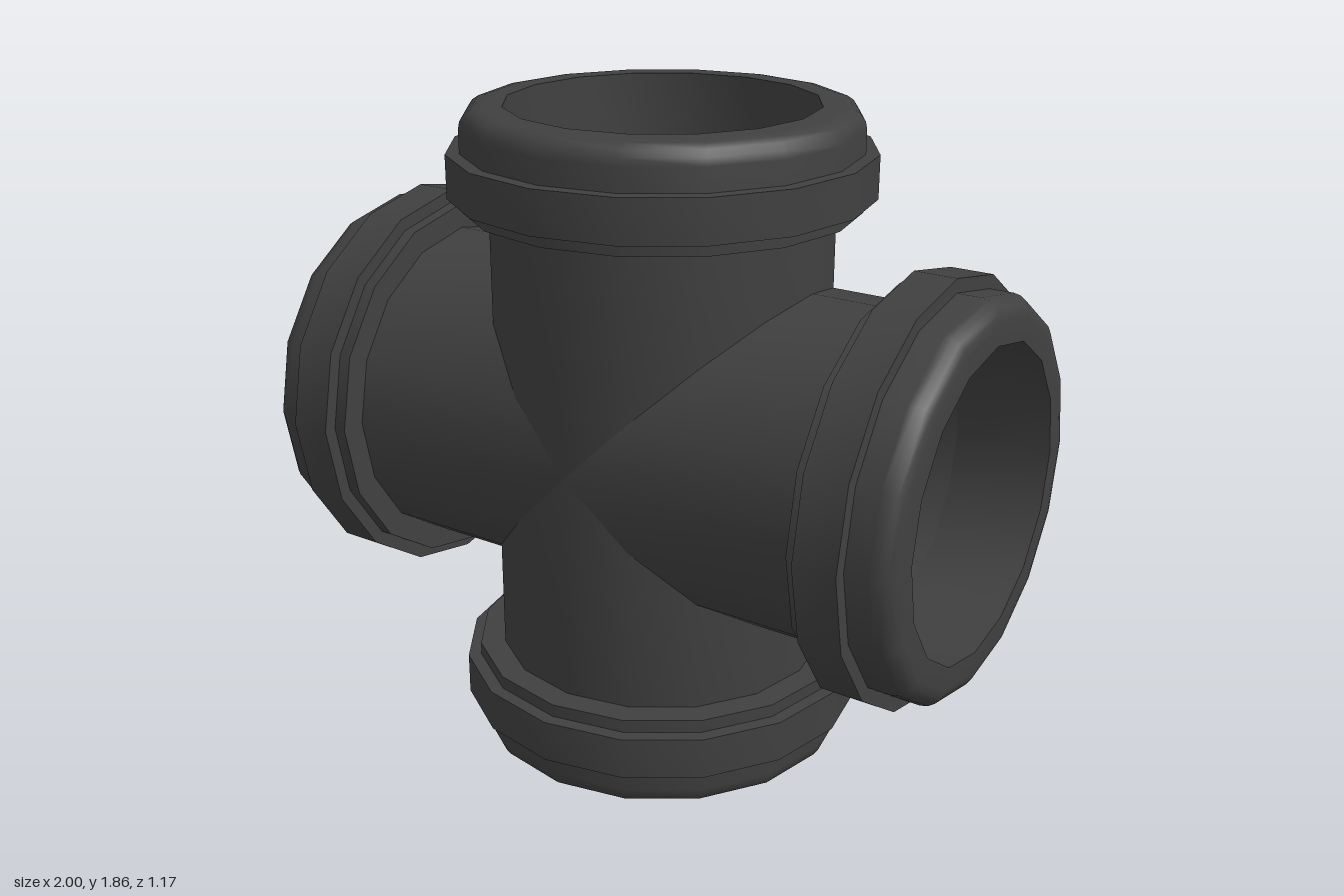
import * as THREE from 'three';
import { toCreasedNormals } from 'three/addons/utils/BufferGeometryUtils.js';

const SIDES = 16;
const BORE = 0.43, PIPE = 0.475, COLLAR = 0.547, RING = 0.585;
const CENTRE = 0.93;

const material = new THREE.MeshStandardMaterial({ color: 0x404040 });

function lathe(points) {
  return new THREE.LatheGeometry(points.map(([r, y]) => new THREE.Vector2(r, y)), SIDES);
}

function part(name, geometry) {
  const mesh = new THREE.Mesh(toCreasedNormals(geometry, 0.6), material);
  mesh.name = name;
  return mesh;
}

// Tube wall whose inner end is mitred at 45 degrees to meet its neighbours
function mitred(points) {
  const geometry = lathe(points);
  const p = geometry.attributes.position;
  for (let i = 0; i < p.count; i++) {
    if (p.getY(i) === 0) p.setY(i, Math.abs(p.getX(i)));
  }
  return geometry;
}

// One arm of the cross, pointing up from the centre
function createArm(length) {
  const arm = new THREE.Group();
  const base = length - 0.277;

  arm.add(part('pipeWall', mitred([[PIPE, 0], [PIPE, base]])));
  arm.add(part('pipeBore', mitred([[BORE, base], [BORE, 0]])));

  // Socket collar with a rounded outer lip
  const fillet = 0.055;
  const profile = [[PIPE, base], [COLLAR, base]];
  for (let i = 0; i <= 4; i++) {
    const a = (i / 4) * Math.PI / 2;
    profile.push([COLLAR - fillet * (1 - Math.cos(a)), length - fillet * (1 - Math.sin(a))]);
  }
  profile.push([BORE, length], [BORE, base]);
  arm.add(part('collar', lathe(profile)));

  // Raised square band round the collar
  const low = length - 0.24, high = length - 0.12;
  arm.add(part('collarRing', lathe([[COLLAR, low], [RING, low], [RING, high], [COLLAR, high]])));
  return arm;
}

export function createModel() {
  const model = new THREE.Group();
  model.name = 'crossPipeFitting';
  const arms = [['topArm', 0.93], ['rightArm', 1], ['bottomArm', 0.93], ['leftArm', 1]];
  arms.forEach(([name, length], i) => {
    const arm = createArm(length);
    arm.name = name;
    arm.position.y = CENTRE;
    arm.rotation.z = i * Math.PI / 2;
    model.add(arm);
  });
  return model;
}
